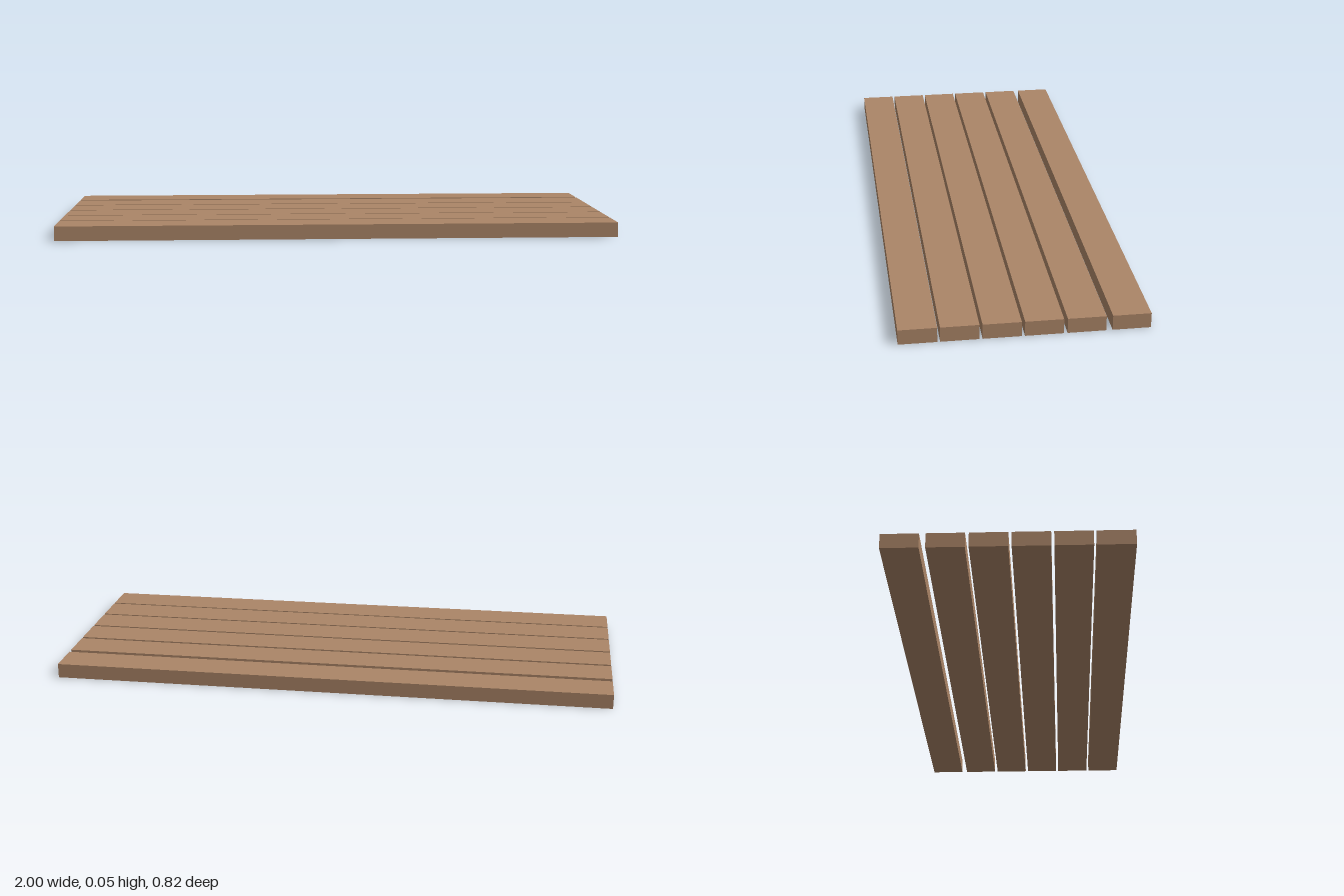
import * as THREE from 'three';

export function createModel() {
  const group = new THREE.Group();
  group.name = 'plankDeck';
  const wood = new THREE.MeshStandardMaterial({ color: 0xab8567 });
  wood.name = 'wood';

  // Six parallel planks, with a wider gap before the rearmost one
  const plank = new THREE.BoxGeometry(2, 0.052, 0.126);
  const centres = [0.346, 0.211, 0.0755, -0.061, -0.199, -0.346];
  centres.forEach((z, i) => {
    const mesh = new THREE.Mesh(plank, wood);
    mesh.name = `plank${i + 1}`;
    mesh.position.set(0, 0.026, z);
    group.add(mesh);
  });
  return group;
}
